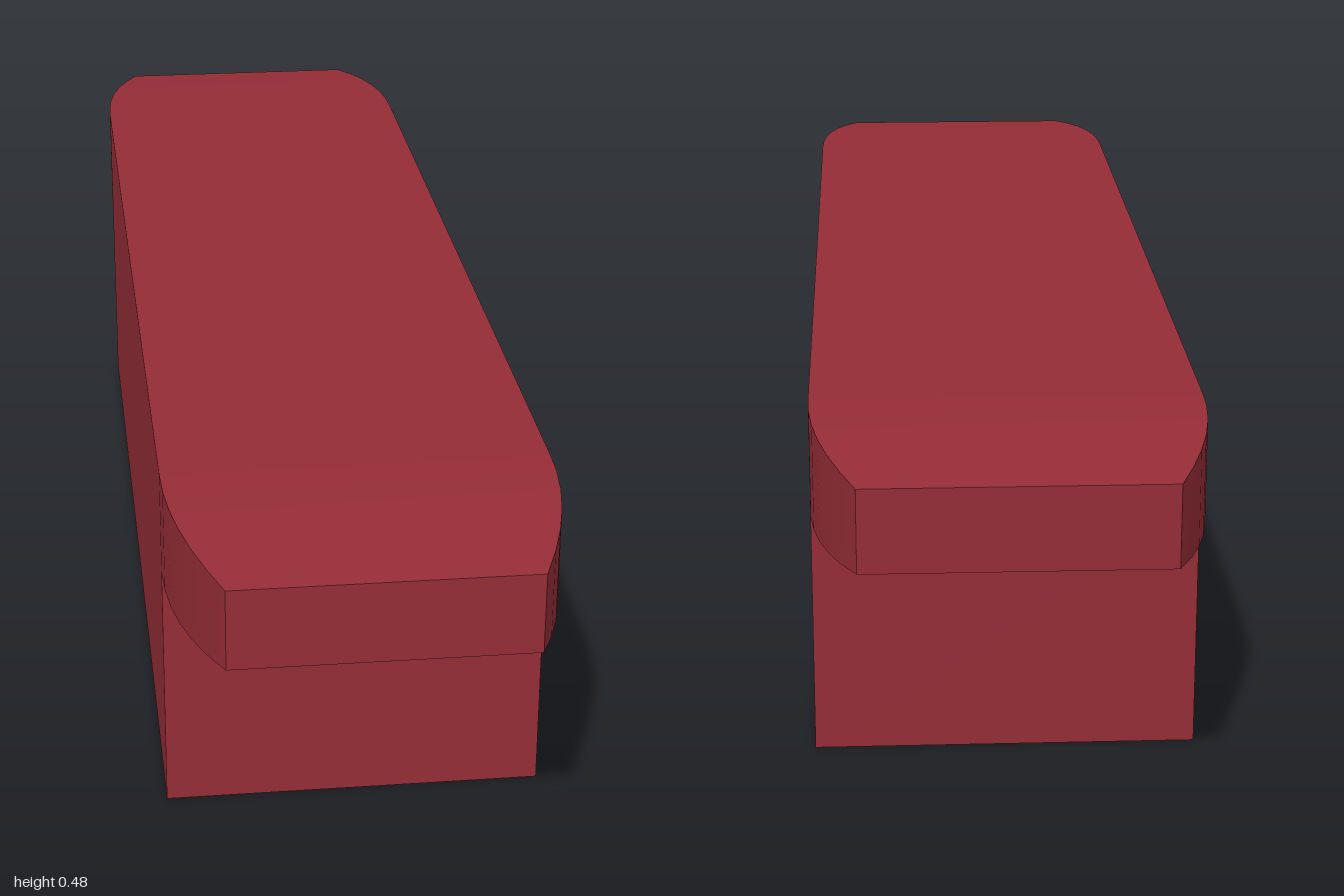
import * as THREE from 'three';

const HALF_BASE = 0.72; // half length of the straight middle
const WIDTH = 0.5, TOP = 0.483, BASE_HEIGHT = 0.343;

export function createModel() {
  const group = new THREE.Group();
  group.name = 'block';
  const darkRed = new THREE.MeshStandardMaterial({ color: 0x962d37 });
  darkRed.name = 'dark red';

  // Long top bar, its two ends curving in on all four sides
  const steps = 6;
  const thickness = TOP - BASE_HEIGHT;
  const barGeometry = new THREE.BoxGeometry(WIDTH, thickness, 2, 1, 1, 2 * steps + 1);
  const p = barGeometry.attributes.position;
  for (let i = 0; i < p.count; i++) {
    const z = p.getZ(i);
    const station = Math.round((Math.abs(z) * (2 * steps + 1) - 1) / 2); // 0 in the middle, steps at the tip
    const t = station / steps;
    const scale = 1 - 0.238 * Math.pow(t, 2.1);
    p.setXYZ(i, p.getX(i) * scale, p.getY(i) * scale,
      Math.sign(z) * (HALF_BASE + (1 - HALF_BASE) * t));
  }
  barGeometry.computeVertexNormals();
  const bar = new THREE.Mesh(barGeometry, darkRed);
  bar.name = 'topBar';
  bar.position.y = BASE_HEIGHT + thickness / 2;
  group.add(bar);

  // Straight base, flush with the sides of the bar
  const base = new THREE.Mesh(
    new THREE.BoxGeometry(WIDTH, BASE_HEIGHT, 2 * HALF_BASE), darkRed);
  base.name = 'base';
  base.position.y = BASE_HEIGHT / 2;
  group.add(base);

  return group;
}
